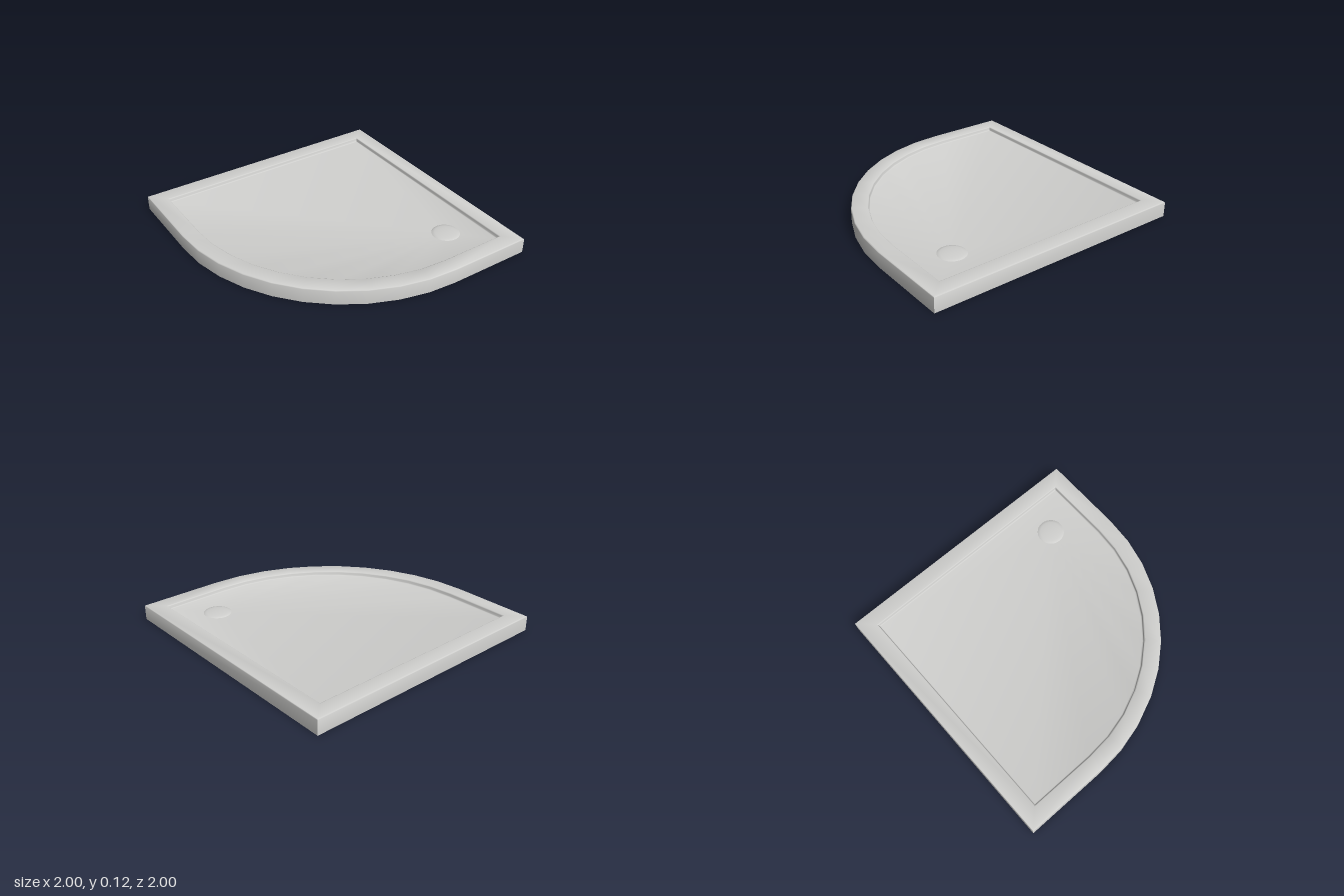
import * as THREE from 'three';
import { toCreasedNormals } from 'three/addons/utils/BufferGeometryUtils.js';

const DRAIN = { x: 0.62, z: 0.6 };
const ARC_CENTER = 0.37, ARC_RADIUS = 1.37, ARC_STEPS = 10;

// Quadrant outline, inset by d, counterclockwise seen from above
function outline(d) {
  const pts = [[1 - d, -1 + d], [-1 + d, -1 + d]];
  for (let i = 0; i <= ARC_STEPS; i++) {
    const a = (i / ARC_STEPS) * Math.PI / 2, r = ARC_RADIUS - d;
    pts.push([ARC_CENTER - r * Math.cos(a), -ARC_CENTER + r * Math.sin(a)]);
  }
  pts.push([1 - d, 1 - d]);
  return pts;
}

// Shell: loops of the outline at [inset, height], closed by a floor falling to the drain
function trayGeometry() {
  const profile = [
    [0, 0], [0, 0.107], [0.0025, 0.1126], [0.008, 0.115],
    [0.116, 0.115], [0.1216, 0.1126], [0.124, 0.107],
    [0.126, 0.092], [0.129, 0.087], [0.135, 0.085],
  ];
  const pos = [], index = [];
  for (const [d, y] of profile) for (const [x, z] of outline(d)) pos.push(x, y, z);
  const n = outline(0).length;
  for (let k = 0; k < profile.length - 1; k++) {
    for (let i = 0; i < n; i++) {
      const j = (i + 1) % n;
      const a = k * n + i, b = k * n + j;
      index.push(a, b, b + n, a, b + n, a + n);
    }
  }
  const last = (profile.length - 1) * n, center = pos.length / 3;
  pos.push(DRAIN.x, 0.08, DRAIN.z);
  for (let i = 0; i < n; i++) index.push(last + i, last + (i + 1) % n, center);
  const g = new THREE.BufferGeometry();
  g.setAttribute('position', new THREE.Float32BufferAttribute(pos, 3));
  g.setIndex(index);
  return toCreasedNormals(g, 0.9);
}

// Turned part around the drain axis
function turned(points, material, name, crease = 0.5) {
  const g = new THREE.LatheGeometry(points.map(([r, y]) => new THREE.Vector2(r, y)), 28);
  const mesh = new THREE.Mesh(toCreasedNormals(g, crease), material);
  mesh.position.set(DRAIN.x, 0, DRAIN.z);
  mesh.name = name;
  return mesh;
}

export function createModel() {
  const ceramic = new THREE.MeshStandardMaterial({ color: 0xd0d0ce, side: THREE.DoubleSide });
  ceramic.name = 'ceramic';
  const black = new THREE.MeshStandardMaterial({ color: 0x181818 });
  black.name = 'drainBlack';

  const group = new THREE.Group();
  group.name = 'showerTray';

  const tray = new THREE.Mesh(trayGeometry(), ceramic);
  tray.name = 'tray';
  group.add(tray);

  // Shallow domed cover, almost level with the floor
  group.add(turned([[0.105, 0.079], [0.1, 0.083], [0.08, 0.087], [0.05, 0.0895], [0.025, 0.0908], [0, 0.091]],
    ceramic, 'drainCover', 0.9));

  // Drain collar under the floor with a wider flange
  group.add(turned([[0.105, 0.001], [0.132, 0.001], [0.132, 0.012], [0.112, 0.012], [0.112, 0.08]],
    ceramic, 'drainCollar'));

  // Dark outlet opening, facing down
  const outlet = new THREE.Mesh(new THREE.CircleGeometry(0.106, 28), black);
  outlet.rotation.x = Math.PI / 2;
  outlet.position.set(DRAIN.x, 0.003, DRAIN.z);
  outlet.name = 'drainOutlet';
  group.add(outlet);

  return group;
}
